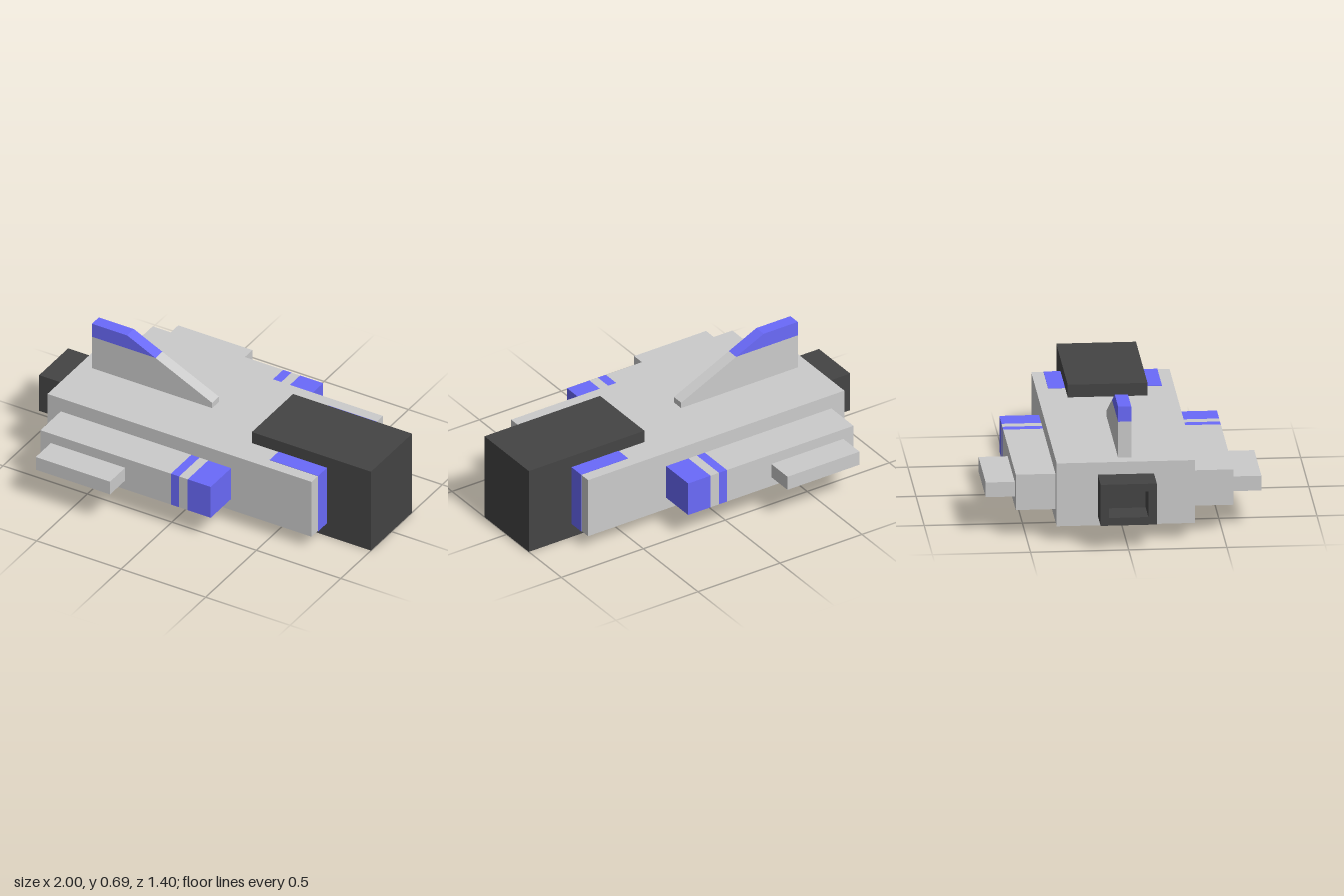
import * as THREE from 'three';

const grey = new THREE.MeshStandardMaterial({ color: 0xcccccc, flatShading: true });
const blue = new THREE.MeshStandardMaterial({ color: 0x6a6afa, flatShading: true });
const dark = new THREE.MeshStandardMaterial({ color: 0x444444, flatShading: true });

export function createModel() {
  const model = new THREE.Group();

  const add = (name, geometry, material) => {
    const mesh = new THREE.Mesh(geometry, material);
    mesh.name = name;
    model.add(mesh);
    return mesh;
  };

  // Box given by its extents along each axis
  const box = (name, material, [x0, x1], [y0, y1], [z0, z1]) =>
    add(name, new THREE.BoxGeometry(x1 - x0, y1 - y0, Math.abs(z1 - z0)), material)
      .position.set((x0 + x1) / 2, (y0 + y1) / 2, (z0 + z1) / 2);

  // Side profile (x, y) extruded evenly about z = 0
  const slab = (name, material, points, width) => {
    const shape = new THREE.Shape(points.map(([x, y]) => new THREE.Vector2(x, y)));
    const geometry = new THREE.ExtrudeGeometry(shape, { depth: width, bevelEnabled: false });
    add(name, geometry.translate(0, 0, -width / 2), material);
  };

  // Hull and the flush stripe wrapped around its nose end
  box('hull', grey, [-0.825, 0.738], [0.08, 0.414], [-0.352, 0.352]);
  box('hullStripe', blue, [0.453, 0.74], [0.078, 0.416], [-0.29, 0.29]);

  // Nose block clasping the hull from above and below
  slab('nose', dark, [
    [0.295, 0.414], [0.74, 0.414], [0.74, 0.08], [0.453, 0.08],
    [0.453, 0], [1, 0], [1, 0.481], [0.295, 0.481],
  ], 0.406);

  // Tail fin with a coloured tip
  slab('tailFin', grey, [[-0.753, 0.414], [-0.042, 0.414], [-0.042, 0.446], [-0.377, 0.605], [-0.753, 0.605]], 0.067);
  slab('tailFinTip', blue, [[-0.753, 0.605], [-0.377, 0.605], [-0.545, 0.685], [-0.753, 0.685]], 0.067);

  // Side pods in banded sections, each with a small outer wing
  const bands = [
    ['podBody', grey, -0.746, 0.026],
    ['podRing', blue, 0.026, 0.075],
    ['podGap', grey, 0.075, 0.126],
    ['podNose', blue, 0.126, 0.262],
  ];
  for (const [side, s] of [['left', -1], ['right', 1]]) {
    for (const [name, material, x0, x1] of bands) {
      box(`${name}_${side}`, material, [x0, x1], [0.147, 0.335], [s * 0.352, s * 0.554]);
    }
    box(`wing_${side}`, grey, [-0.684, -0.245], [0.2, 0.278], [s * 0.554, s * 0.702]);
  }

  // Hollow square exhaust
  const rect = (Type, w, h) => new Type([[-w, -h], [w, -h], [w, h], [-w, h]].map(([x, y]) => new THREE.Vector2(x, y)));
  const outline = rect(THREE.Shape, 0.143, 0.109);
  outline.holes.push(rect(THREE.Path, 0.1, 0.068));
  const exhaust = new THREE.ExtrudeGeometry(outline, { depth: 0.175, bevelEnabled: false });
  add('exhaust', exhaust.rotateY(Math.PI / 2).translate(-1, 0.24, 0), dark);
  box('exhaustBack', dark, [-0.835, -0.827], [0.172, 0.308], [-0.1, 0.1]);

  return model;
}
